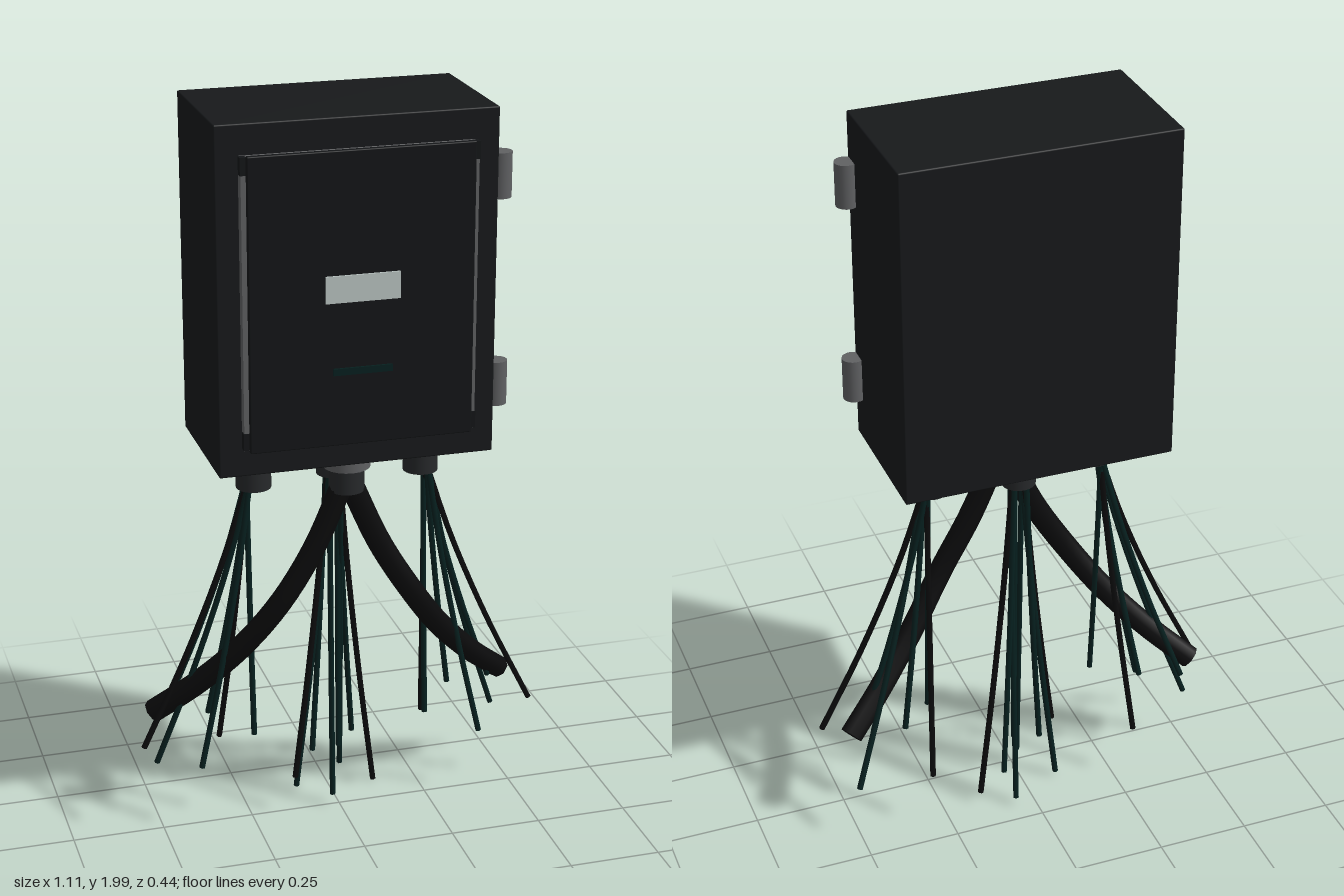
import * as THREE from 'three';
import { RoundedBoxGeometry } from 'three/addons/geometries/RoundedBoxGeometry.js';

const paint = (color) => new THREE.MeshStandardMaterial({ color });
const MAT = {
  shell: paint(0x17191b), door: paint(0x131517), metal: paint(0x606163), collar: paint(0x27292b),
  label: paint(0xbcc6c4), slot: paint(0x06201f), cable: paint(0x0b0b0c),
  wireTeal: paint(0x06201f), wireBlack: paint(0x0b0b0c),
};

export function createModel() {
  const model = new THREE.Group();
  model.name = 'electricalCabinet';

  const add = (name, geometry, material, x = 0, y = 0, z = 0) => {
    const mesh = new THREE.Mesh(geometry, material);
    mesh.name = name;
    mesh.position.set(x, y, z);
    model.add(mesh);
    return mesh;
  };
  const box = (name, w, h, d, material, x, y, z) =>
    add(name, new THREE.BoxGeometry(w, h, d), material, x, y, z);

  // Tube with both ends closed
  const hose = (name, points, radius, sides, steps, material) => {
    const curve = new THREE.CatmullRomCurve3(points.map((p) => new THREE.Vector3(...p)));
    add(name, new THREE.TubeGeometry(curve, steps, radius, sides), material);
    for (const t of [0, 1]) {
      const cap = add(name + 'End', new THREE.CircleGeometry(radius, sides), material);
      const dir = curve.getTangentAt(t).multiplyScalar(t ? 1 : -1);
      cap.position.copy(curve.getPointAt(t));
      cap.quaternion.setFromUnitVectors(new THREE.Vector3(0, 0, 1), dir);
    }
  };

  // Housing
  add('housing', new RoundedBoxGeometry(0.73, 0.912, 0.395, 2, 0.004), MAT.shell, 0, 1.544, -0.024);

  // Door gasket, door panel and corner clips
  box('doorGasket', 0.61, 0.755, 0.026, MAT.metal, 0, 1.544, 0.186);
  add('door', new RoundedBoxGeometry(0.585, 0.765, 0.016, 2, 0.003), MAT.door, 0, 1.544, 0.206);
  for (const x of [-0.299, 0.299])
    for (const y of [1.19, 1.9]) box('cornerClip', 0.016, 0.045, 0.02, MAT.door, x, y, 0.191);

  // Label plate and handle slot
  box('labelPlate', 0.194, 0.07, 0.006, MAT.label, 0, 1.576, 0.216);
  box('handleSlot', 0.155, 0.018, 0.008, MAT.slot, 0, 1.36, 0.216);

  // Hinges
  for (const y of [1.268, 1.82])
    add('hinge', new THREE.CylinderGeometry(0.029, 0.029, 0.118, 20), MAT.metal, 0.381, y, 0.143);

  // Cable glands under the housing
  const glands = [[-0.23, -0.015], [0.23, -0.015], [0, -0.055], [0, 0.07]];
  for (const [x, z] of glands) {
    add('glandNut', new THREE.CylinderGeometry(0.063, 0.063, 0.045, 20), MAT.metal, x, 1.07, z);
    add('glandCollar', new THREE.CylinderGeometry(0.047, 0.047, 0.07, 20), MAT.collar, x, 1.015, z);
  }

  // Two heavy cables leaving the front gland
  for (const s of [-1, 1])
    hose('heavyCable', [
      [s * 0.01, 1.0, 0.07], [s * 0.09, 0.82, 0.07], [s * 0.18, 0.67, 0.06],
      [s * 0.28, 0.53, 0.015], [s * 0.39, 0.41, -0.045], [s * 0.5, 0.312, -0.105],
    ], 0.032, 8, 24, MAT.cable);

  // Bundles of thin wires: [end x, end y, end z]
  const side = [
    [0.55, 0.265, 0.01], [0.5, 0.172, -0.165], [0.395, 0.195, 0.035], [0.345, 0.29, -0.1],
    [0.295, 0.17, -0.18], [0.242, 0.265, 0.015], [0.455, 0.31, -0.07],
  ];
  const otherSide = [
    [-0.55, 0.265, 0.01], [-0.5, 0.172, -0.07], [-0.397, 0.195, 0.035], [-0.347, 0.29, -0.1],
    [-0.298, 0.17, -0.18], [-0.245, 0.265, 0.015], [-0.45, 0.3, -0.155],
  ];
  const centre = [
    [0.13, 0.008, -0.105], [-0.095, 0.02, -0.105], [0.055, 0.03, -0.187], [-0.02, 0.04, 0.005],
    [-0.13, 0.115, 0.015], [0.09, 0.13, -0.185], [-0.055, 0.14, -0.08], [0.018, 0.15, -0.07],
  ];
  const bundles = [[glands[0], otherSide], [glands[1], side], [glands[2], centre]];
  for (const [[gx, gz], ends] of bundles)
    ends.forEach(([x, y, z], i) => {
      const a = (i / ends.length) * Math.PI * 2;
      const x0 = gx + Math.sign(x - gx) * 0.015, z0 = gz + Math.sin(a) * 0.02;
      const along = (t, bend) => [x0 + (x - x0) * bend, 1 + (y - 1) * t, z0 + (z - z0) * bend];
      hose('wire', [along(0, 0), along(0.3, 0.24), along(0.65, 0.59), along(1, 1)],
        0.008, 6, 12, i % 4 === 0 ? MAT.wireBlack : MAT.wireTeal);
    });

  return model;
}
